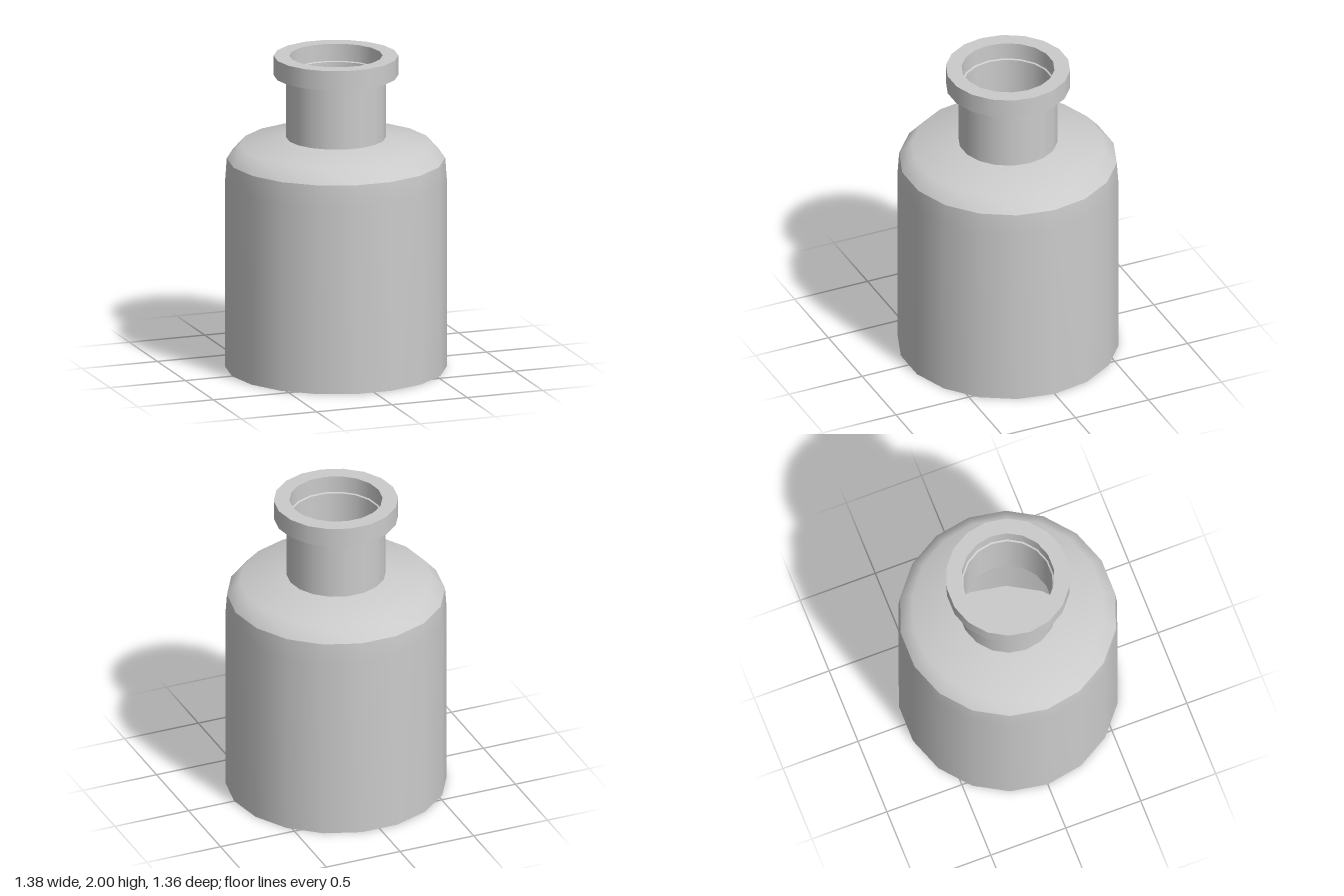
import * as THREE from 'three';

const SIDES = 18;

export function createModel() {
  const bottle = new THREE.Group();
  bottle.name = 'bottle';
  const material = new THREE.MeshStandardMaterial({ color: 0xcccccc });

  // Turn one smooth stretch of the profile; separate stretches keep sharp edges between them.
  function turned(name, profile) {
    const points = profile.map(([r, y]) => new THREE.Vector2(r, y));
    // start at +x so that a corner lies on the x axis
    const mesh = new THREE.Mesh(new THREE.LatheGeometry(points, SIDES, Math.PI / 2), material);
    mesh.name = name;
    bottle.add(mesh);
  }

  // Outside, from the base up to the mouth
  turned('base', [[0, 0], [0.69, 0]]);
  turned('bodyWall', [[0.69, 0], [0.69, 1.2], [0.68, 1.34]]);
  turned('shoulder', [[0.68, 1.34], [0.6, 1.43], [0.31, 1.475]]);
  turned('neck', [[0.31, 1.475], [0.31, 1.875]]);
  turned('lipUnderside', [[0.31, 1.875], [0.388, 1.875]]);
  turned('lipWall', [[0.388, 1.875], [0.388, 2]]);
  turned('lipTop', [[0.388, 2], [0.29, 2]]);

  // Inside, from the mouth down to the floor
  turned('mouthWall', [[0.29, 2], [0.29, 1.89]]);
  turned('mouthLedge', [[0.29, 1.89], [0.28, 1.885]]);
  turned('neckBore', [[0.28, 1.885], [0.28, 1.44]]);
  turned('innerShoulder', [[0.28, 1.44], [0.58, 1.4], [0.65, 1.32]]);
  turned('innerWall', [[0.65, 1.32], [0.66, 1.2], [0.66, 0.03]]);
  turned('innerFloor', [[0.66, 0.03], [0, 0.03]]);

  return bottle;
}
